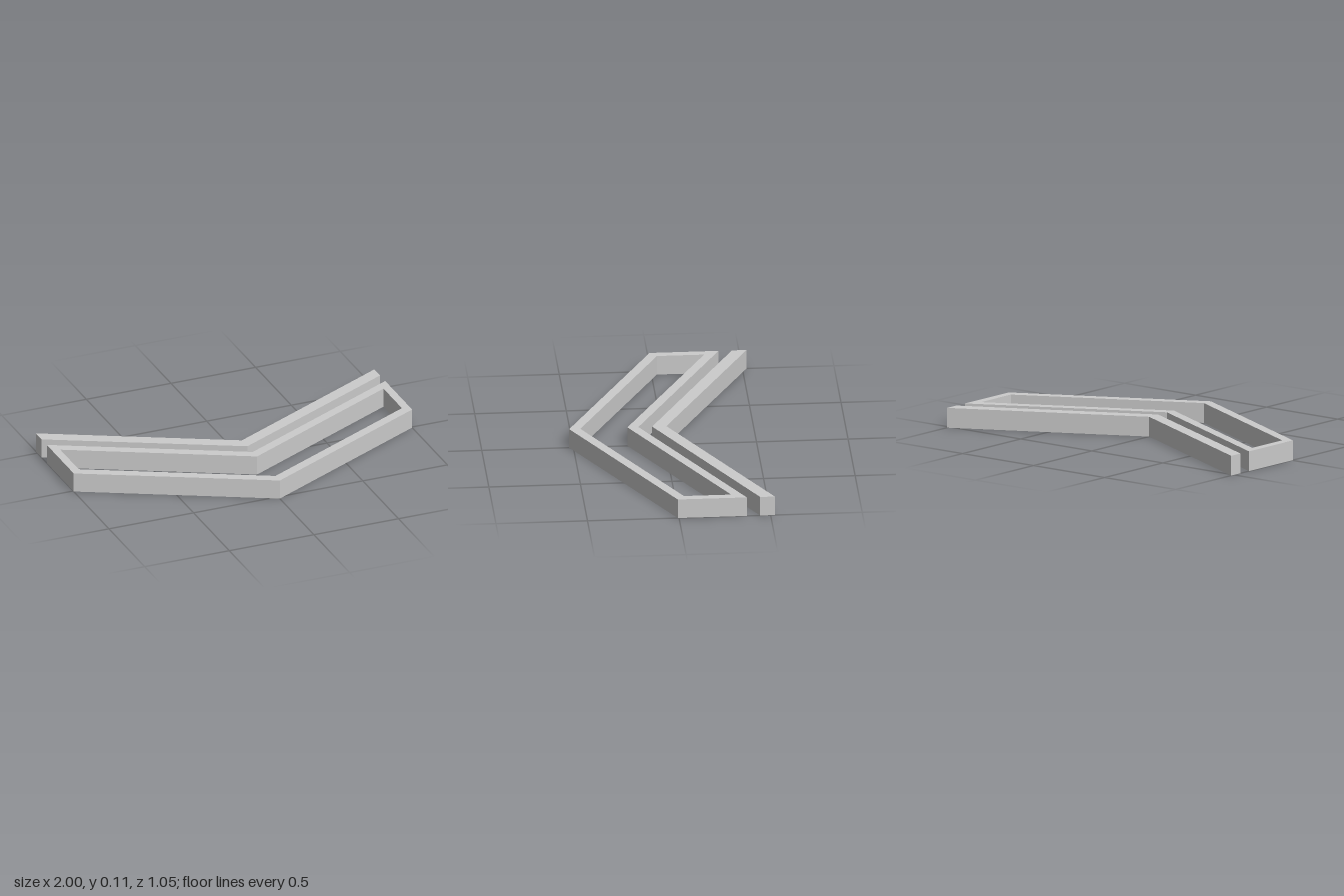
import * as THREE from 'three';

const HEIGHT = 0.11;

// Closed chevron outline in plan: half-width, z at the tips and z at the centre, for back and front edges
function chevron(halfWidth, backTip, backMid, frontTip, frontMid) {
  return [
    [-halfWidth, frontTip], [0, frontMid], [halfWidth, frontTip],
    [halfWidth, backTip], [0, backMid], [-halfWidth, backTip],
  ].map(([x, z]) => new THREE.Vector2(x, -z));
}

// Extrude a plan outline upwards from the ground
function slab(name, outline, hole) {
  const shape = new THREE.Shape(outline);
  if (hole) shape.holes.push(new THREE.Path(hole));
  const geometry = new THREE.ExtrudeGeometry(shape, { depth: HEIGHT, bevelEnabled: false });
  geometry.rotateX(-Math.PI / 2);
  const mesh = new THREE.Mesh(
    geometry,
    new THREE.MeshStandardMaterial({ color: 0xcccccc, flatShading: true })
  );
  mesh.name = name;
  return mesh;
}

export function createModel() {
  const group = new THREE.Group();
  group.name = 'chevronEmblem';

  // Solid V-shaped bar at the back
  group.add(slab('backBar', chevron(1, -0.523, -0.008, -0.443, 0.07)));

  // Hollow V-shaped frame in front of it
  group.add(slab(
    'chevronFrame',
    chevron(1, -0.37, 0.145, 0.007, 0.523),
    chevron(0.955, -0.288, 0.205, -0.03, 0.462)
  ));

  return group;
}
